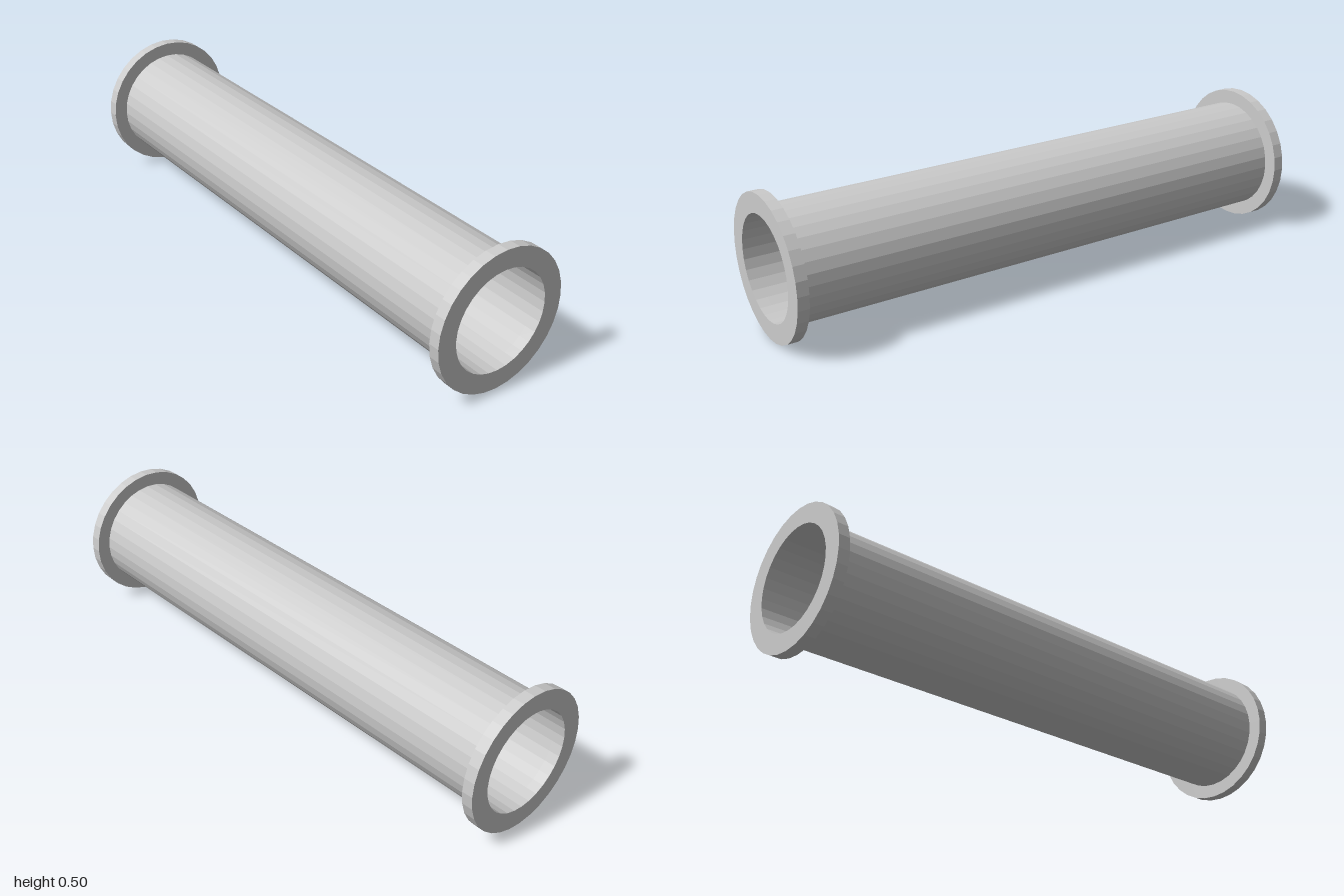
import * as THREE from 'three';

const SIDES = 32;
const BORE = 0.181, PIPE = 0.2, FLANGE = 0.25; // radii
const END = 1, SEAT = 0.96; // outer and inner face of each flange

export function createModel() {
  const model = new THREE.Group();
  model.name = 'flangedPipe';
  const material = new THREE.MeshStandardMaterial({ color: 0xcccccc, flatShading: true });

  // Turns a [radius, distance along axis] profile and lays its axis along x
  const turned = (name, profile) => {
    const points = profile.map(([r, d]) => new THREE.Vector2(r, d));
    const geometry = new THREE.LatheGeometry(points, SIDES).rotateZ(-Math.PI / 2);
    const mesh = new THREE.Mesh(geometry, material);
    mesh.name = name;
    mesh.position.y = FLANGE;
    model.add(mesh);
    return mesh;
  };

  // Pipe walls, outside and inside
  turned('pipeOuterWall', [[PIPE, -SEAT], [PIPE, SEAT]]);
  turned('pipeBore', [[BORE, SEAT], [BORE, -SEAT]]);

  // Ring flange at each end
  const ring = [[PIPE, SEAT], [FLANGE, SEAT], [FLANGE, END], [BORE, END], [BORE, SEAT]];
  turned('leftFlange', ring);
  turned('rightFlange', ring).rotation.y = Math.PI;

  return model;
}
